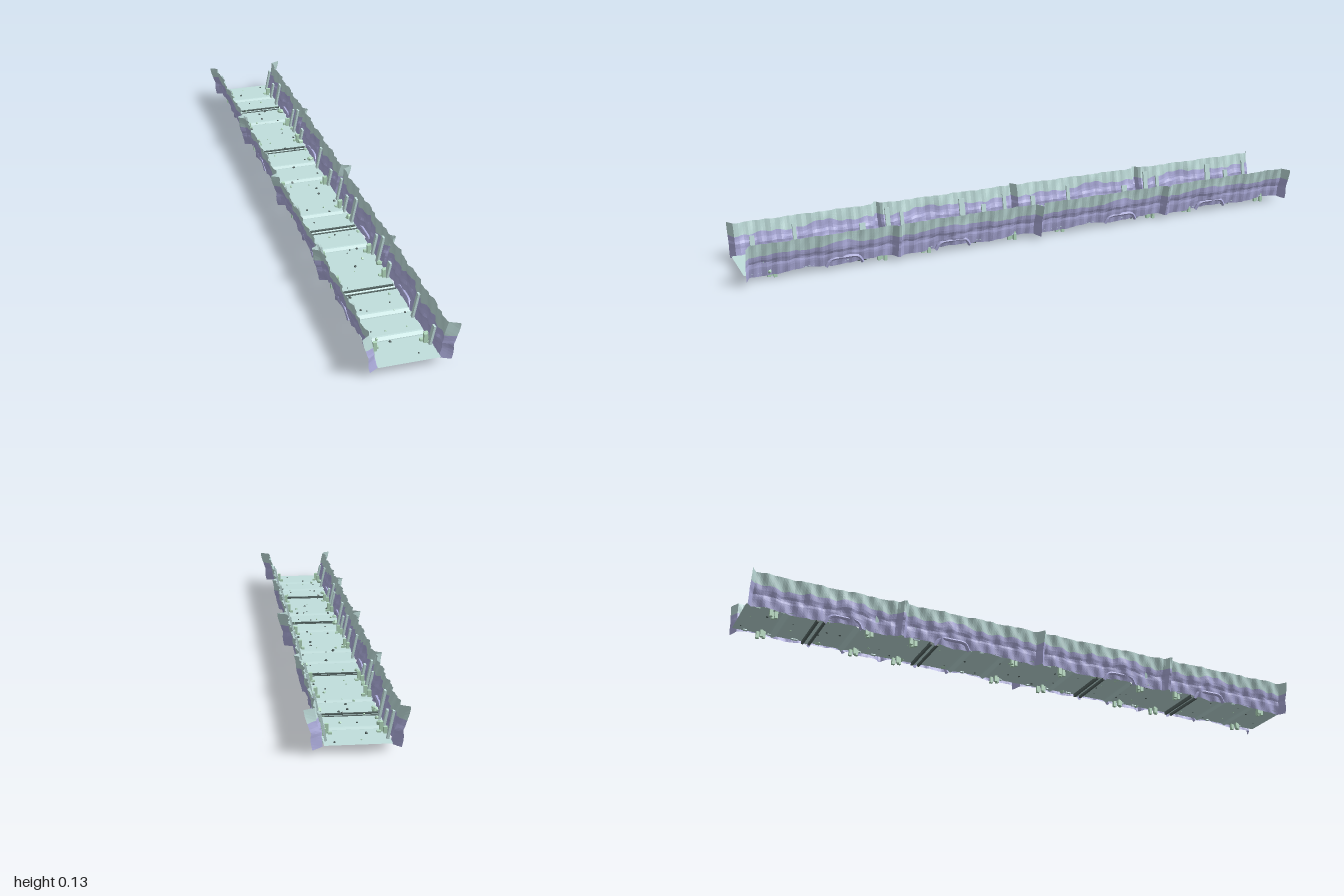
import * as THREE from 'three';

const mat = (color) => new THREE.MeshStandardMaterial({ color, flatShading: true, side: THREE.DoubleSide });
const PURPLE = mat(0xb0b0e0), TEAL = mat(0xc0dedc), GREEN = mat(0xb4dcc0), DARK = mat(0x566664);

// small seeded random
function seeded(s) {
  return () => { s = (s * 16807) % 2147483647; return s / 2147483647; };
}

const bump = (z, c, w) => Math.exp(-(((z - c) / w) ** 2));
const wrap = (z) => ((z % 1) + 1) % 1; // the trench repeats every unit
const nearHalf = (z) => Math.abs(z * 2 - Math.round(z * 2)) / 2;

// sheet from a point rule over a u/v grid
function sheet(rule, nu, nv, material, name) {
  const pos = [], index = [];
  for (let i = 0; i <= nu; i++) for (let j = 0; j <= nv; j++) pos.push(...rule(i / nu, j / nv));
  for (let i = 0; i < nu; i++) for (let j = 0; j < nv; j++) {
    const a = i * (nv + 1) + j, b = a + nv + 1;
    index.push(a, a + 1, b, b, a + 1, b + 1);
  }
  const g = new THREE.BufferGeometry();
  g.setAttribute('position', new THREE.Float32BufferAttribute(pos, 3));
  g.setIndex(index);
  g.computeVertexNormals();
  const m = new THREE.Mesh(g, material);
  m.name = name;
  return m;
}

// boulder swellings and the wavy line between the two wall bands
const boulders = (z) => bump(wrap(z), 0.31, 0.05) + bump(wrap(z), 0.68, 0.05);
const border = (z) => 0.086 + 0.012 * boulders(z) + 0.003 * Math.sin(z * 12 * Math.PI) + 0.002 * Math.sin(z * 34 * Math.PI);
const foot = (z) => 0.016 + 0.004 * Math.sin(z * 8 * Math.PI) - 0.005 * bump(nearHalf(z), 0, 0.02);

// distance of the rocky wall from the middle
function wallX(y, z, side) {
  const t = wrap(z) * Math.PI * 2;
  const base = 0.09 + 0.026 * (y / 0.125);
  const rough = 0.003 * Math.sin(t * 7 + side) + 0.002 * Math.sin(t * 17 + y * 70) + 0.0015 * Math.sin(t * 29 + side * 2);
  const swell = 0.007 * boulders(z) * bump(y, 0.065, 0.03);
  const ledge = 0.003 * bump(y, 0.058, 0.008);
  const flare = 0.027 * Math.max(0, 1 - nearHalf(z) / 0.016);
  return base + rough + swell - ledge + flare;
}

function wall(side) {
  const g = new THREE.Group();
  g.name = side > 0 ? 'leftWall' : 'rightWall';
  const band = (lo, hi) => (u, v) => {
    const z = u * 2 - 1, y = lo(z) + (hi(z) - lo(z)) * v;
    return [side * wallX(y, z, side), y, z];
  };
  g.add(sheet(band(foot, border), 250, 9, PURPLE, 'lowerRock'));
  g.add(sheet(band(border, () => 0.126), 250, 4, TEAL, 'upperRock'));

  const rand = seeded(side > 0 ? 77 : 501);
  for (const tile of [-1, 0]) {
    // leaning ribs against the inner face
    [0.04, 0.12, 0.2, 0.42, 0.47, 0.56, 0.79, 0.93].forEach((p, i) => {
      const h = [0.085, 0.06, 0.09, 0.075, 0.095, 0.055, 0.085, 0.065][i];
      const rib = new THREE.Mesh(new THREE.BoxGeometry(0.007, h, 0.012 + 0.004 * (i % 3)), TEAL);
      rib.name = 'rib';
      rib.position.set(side * (0.084 + h * 0.1), 0.018 + h / 2, tile + p);
      rib.rotation.z = -side * 0.2;
      g.add(rib);
    });
    // stepped buttresses at the foot
    [0.09, 0.4, 0.55, 0.91].forEach((p, i) => {
      [[0.068, 0.028, 0], [0.076, 0.05, 0.009], [0.085, 0.042, -0.009]].forEach(([x, h, dz]) => {
        const b = new THREE.Mesh(new THREE.BoxGeometry(0.011, h, 0.01), GREEN);
        b.name = 'buttress';
        b.position.set(side * x, h / 2 + (i % 2) * 0.002, tile + p + dz);
        g.add(b);
      });
    });
    // arched pipes low on the wall
    for (const p of [0.31, 0.68]) {
      const pts = [[0.012, -0.06], [0.034, -0.045], [0.038, 0], [0.034, 0.045], [0.012, 0.06]]
        .map(([y, dz]) => new THREE.Vector3(side * (0.093 + y * 0.15), y, tile + p + dz));
      const pipe = new THREE.Mesh(new THREE.TubeGeometry(new THREE.CatmullRomCurve3(pts), 16, 0.006, 6), PURPLE);
      pipe.name = 'archedPipe';
      g.add(pipe);
    }
  }
  // fallen rocks beside the wall
  for (let i = 0; i < 14; i++) {
    const r = 0.006 + rand() * 0.008;
    const rock = new THREE.Mesh(new THREE.IcosahedronGeometry(r, 0), GREEN);
    rock.name = 'rock';
    rock.position.set(side * (0.078 + rand() * 0.01), 0.026, -0.95 + rand() * 1.9);
    rock.rotation.set(rand() * 3, rand() * 3, 0);
    rock.scale.y = 0.8;
    g.add(rock);
  }
  return g;
}

export function createModel() {
  const model = new THREE.Group();
  model.name = 'trench';

  // floor with shallow cross grooves
  const grooves = [0.13, 0.24, 0.36, 0.62, 0.75, 0.87];
  const floorY = (z) => 0.023 - 0.008 * Math.max(...grooves.map((p) => Math.max(0, 1 - Math.abs(wrap(z) - p) / 0.012)));
  model.add(sheet((u, v) => [(v * 2 - 1) * 0.093, floorY(u * 2 - 1), u * 2 - 1], 400, 2, TEAL, 'floor'));

  // cross beams in the wider grooves, paired
  for (const z of [-0.76, -0.38, 0.24, 0.62]) for (const d of [-0.011, 0.011]) {
    const beam = new THREE.Mesh(new THREE.BoxGeometry(0.18, 0.012, 0.007), DARK);
    beam.name = 'crossBeam';
    beam.position.set(0, 0.018, z + d);
    model.add(beam);
  }

  // scattered pebbles
  const rand = seeded(4242);
  for (let i = 0; i < 70; i++) {
    const pebble = new THREE.Mesh(new THREE.DodecahedronGeometry(0.002 + rand() * 0.003, 0), i % 3 ? DARK : GREEN);
    pebble.name = 'pebble';
    pebble.position.set((rand() * 2 - 1) * 0.075, 0.024, (rand() * 2 - 1) * 0.98);
    pebble.rotation.set(rand() * 3, rand() * 3, 0);
    model.add(pebble);
  }

  model.add(wall(1), wall(-1));
  return model;
}
